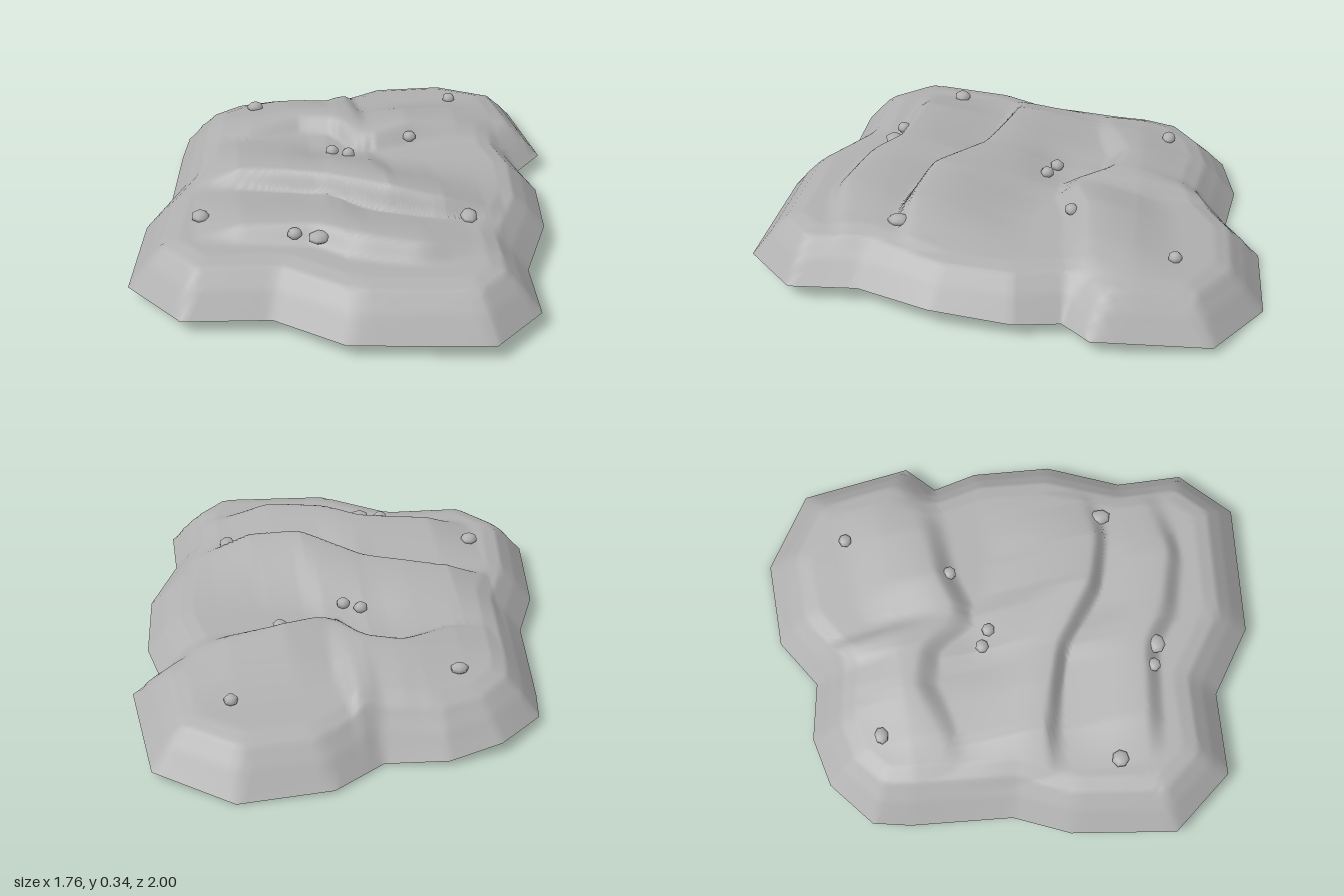
import * as THREE from 'three';

// Rim corners of the mound: x, z, y
const RIM = [
  [0.18, -0.99, 0.01], [0.54, -1.0, 0.0], [0.83, -0.81, 0.03], [0.88, -0.36, 0.06], [0.77, -0.25, 0.05],
  [0.81, -0.07, 0.06], [0.78, 0.25, 0.08], [0.66, 0.54, 0.07], [0.66, 0.81, 0.06], [0.46, 1.0, 0.06],
  [-0.08, 0.95, 0.06], [-0.34, 0.77, 0.06], [-0.68, 0.75, 0.06], [-0.88, 0.5, 0.055], [-0.82, 0.08, 0.055],
  [-0.72, -0.14, 0.05], [-0.68, -0.55, 0.02], [-0.65, -0.7, 0.03], [-0.47, -0.85, 0.04], [-0.26, -0.9, 0.02],
  [-0.02, -0.86, 0.005],
];

// Terraces: lip points (x, z, rise), then length of the slope behind and width of the drop in front
const TERRACES = [
  { back: 0.46, drop: 0.07, lip: [[-0.62, 0.02, 0], [-0.44, 0.03, 0.07], [-0.25, 0.08, 0.085], [-0.1, 0.13, 0.09], [0.14, 0.31, 0.12], [0.35, 0.37, 0.085], [0.52, 0.35, 0.02], [0.6, 0.33, 0]] },
  { back: 0.42, drop: 0.08, lip: [[-0.62, 0.42, 0], [-0.44, 0.44, 0.055], [-0.14, 0.48, 0.07], [0.0, 0.58, 0.075], [0.24, 0.65, 0.065], [0.42, 0.62, 0.025], [0.58, 0.58, 0]] },
  { back: 0.36, drop: 0.1, lip: [[-0.55, -0.34, 0], [-0.38, -0.38, 0.035], [-0.17, -0.46, 0.055], [0.0, -0.41, 0.065], [0.1, -0.25, 0.06], [0.28, -0.31, 0.075], [0.5, -0.33, 0.05], [0.68, -0.36, 0]] },
];
const BASE = [[-1, 0.16], [-0.85, 0.175], [-0.5, 0.215], [-0.1, 0.215], [0.5, 0.23], [1, 0.23]];
const EDGE = [[0, 0], [0.07, 0.54], [0.13, 0.9], [0.19, 1]];

// Piecewise linear lookup of one column
function lookup(points, x, col = 1) {
  if (x <= points[0][0]) return points[0][col];
  for (let i = 1; i < points.length; i++) {
    const a = points[i - 1], b = points[i];
    if (x <= b[0]) return a[col] + (b[col] - a[col]) * (x - a[0]) / (b[0] - a[0]);
  }
  return points[points.length - 1][col];
}

// Closest distance to the rim and the rim height there
function nearestRim(x, z) {
  let best = Infinity, y = 0;
  RIM.forEach((a, i) => {
    const b = RIM[(i + 1) % RIM.length];
    const dx = b[0] - a[0], dz = b[1] - a[1];
    const t = THREE.MathUtils.clamp(((x - a[0]) * dx + (z - a[1]) * dz) / (dx * dx + dz * dz), 0, 1);
    const d = Math.hypot(x - a[0] - dx * t, z - a[1] - dz * t);
    if (d < best) { best = d; y = a[2] + (b[2] - a[2]) * t; }
  });
  return [best, y];
}

function height(x, z) {
  const W = 0.04;
  let rise = 0;
  for (const { lip, back, drop } of TERRACES) {
    // rounded lip line, measured square to its direction
    const z0 = lookup(lip, x - W), z1 = lookup(lip, x), z2 = lookup(lip, x + W);
    const s = (z - (z0 + 2 * z1 + z2) / 4) / Math.hypot(1, (z2 - z0) / (2 * W));
    const k = s < 0 ? THREE.MathUtils.smoothstep(s, -back, 0) : 1 - THREE.MathUtils.smoothstep(s, 0, drop);
    rise = Math.max(rise, lookup(lip, x, 2) * k);
  }
  // shallow hollow in the middle
  const hollow = 0.02 * Math.exp(-(((x + 0.03) / 0.14) ** 2) - ((z + 0.17) / 0.12) ** 2);
  const [d, rim] = nearestRim(x, z);
  return rim + (lookup(BASE, z) + rise - hollow - rim) * lookup(EDGE, d);
}

// Open shell made of shrinking copies of the rim
function moundGeometry() {
  const SUB = 10, RINGS = 80, n = RIM.length * SUB;
  const pos = [], index = [];
  for (let r = 0; r < RINGS; r++) {
    const s = 1 - r / RINGS;
    for (let j = 0; j < n; j++) {
      const a = RIM[Math.floor(j / SUB)], b = RIM[(Math.floor(j / SUB) + 1) % RIM.length], t = (j % SUB) / SUB;
      const x = (a[0] + (b[0] - a[0]) * t) * s, z = (a[1] + (b[1] - a[1]) * t) * s;
      pos.push(x, height(x, z), z);
    }
  }
  pos.push(0, height(0, 0), 0);
  for (let r = 0; r < RINGS; r++) {
    for (let j = 0; j < n; j++) {
      const k = (j + 1) % n, o = r * n;
      if (r === RINGS - 1) index.push(o + j, RINGS * n, o + k);
      else index.push(o + j, o + n + j, o + k, o + k, o + n + j, o + n + k);
    }
  }
  const g = new THREE.BufferGeometry();
  g.setAttribute('position', new THREE.Float32BufferAttribute(pos, 3));
  g.setIndex(index);
  g.computeVertexNormals();
  return g;
}

export function createModel() {
  const model = new THREE.Group();
  model.name = 'rockyMound';
  const rock = new THREE.MeshStandardMaterial({ color: 0xb0b0b0, side: THREE.DoubleSide });
  rock.name = 'grey rock';

  const mound = new THREE.Mesh(moundGeometry(), rock);
  mound.name = 'mound';
  model.add(mound);

  // Scattered pebbles: x, z, half width, half depth
  const pebbles = [
    [-0.35, -0.61, 0.036, 0.029], [0.52, -0.655, 0.028, 0.028], [-0.045, -0.16, 0.029, 0.028],
    [0.02, -0.125, 0.028, 0.028], [0.29, -0.245, 0.029, 0.028], [-0.595, 0.31, 0.036, 0.036],
    [0.44, 0.41, 0.034, 0.046], [-0.24, 0.51, 0.029, 0.028], [-0.15, 0.535, 0.044, 0.038],
  ];
  const pebbleGeometry = new THREE.SphereGeometry(1, 7, 5);
  pebbles.forEach(([x, z, w, d], i) => {
    const pebble = new THREE.Mesh(pebbleGeometry, rock);
    pebble.name = `pebble${i + 1}`;
    pebble.scale.set(w, 0.022, d);
    pebble.position.set(x, height(x, z) + 0.01, z);
    pebble.rotation.y = (i % 3) * 0.2;
    model.add(pebble);
  });
  return model;
}
